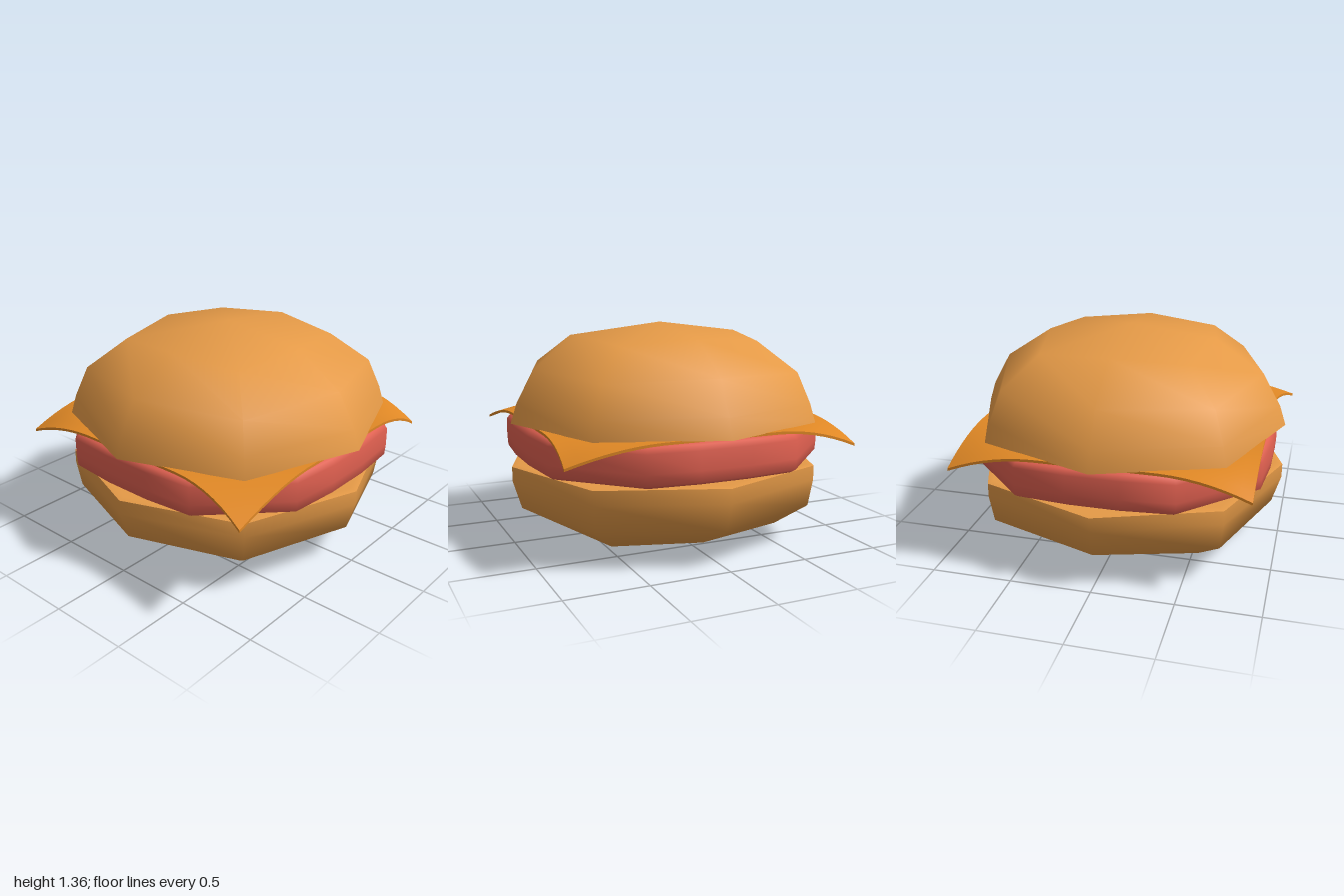
import * as THREE from 'three';
import { mergeVertices } from 'three/addons/utils/BufferGeometryUtils.js';

const material = (color, side = THREE.FrontSide) => new THREE.MeshStandardMaterial({ color, side });

// Smooth skin through closed rings of points, listed from bottom to top
function loft(rings) {
  const n = rings[0].length, index = [];
  for (let i = 0; i < rings.length - 1; i++) {
    for (let j = 0; j < n; j++) {
      const a = i * n + j, b = i * n + (j + 1) % n;
      index.push(a, b, a + n, b, b + n, a + n);
    }
  }
  let geometry = new THREE.BufferGeometry();
  geometry.setAttribute('position', new THREE.Float32BufferAttribute(rings.flat(2), 3));
  geometry.setIndex(index);
  geometry = mergeVertices(geometry);
  geometry.computeVertexNormals();
  return geometry;
}

// Eight-sided ring whose diagonal corners have their own radius and height
function bunRing([radius, y, diagRadius = radius, diagY = y]) {
  return Array.from({ length: 8 }, (_, i) => {
    const a = i * Math.PI / 4, r = i % 2 ? diagRadius : radius;
    return [r * Math.sin(a), i % 2 ? diagY : y, r * Math.cos(a)];
  });
}

// Sixteen-sided rounded square ring for the patty
function pattyRing([scale, y]) {
  const corner = [[0.16, 0.94], [0.48, 0.91], [0.91, 0.48], [0.94, 0.16]];
  const ring = [];
  for (let q = 0; q < 4; q++) {
    const c = [1, 0, -1, 0][q], s = [0, 1, 0, -1][q];
    for (const [x, z] of corner) ring.push([scale * (x * c + z * s), y, scale * (z * c - x * s)]);
  }
  return ring;
}

// Each list of levels is its own smooth surface, so the rims stay sharp
function part(name, color, ringOf, surfaces) {
  const group = new THREE.Group();
  group.name = name;
  const mat = material(color);
  for (const [surface, levels] of Object.entries(surfaces)) {
    const mesh = new THREE.Mesh(loft(levels.map(ringOf)), mat);
    mesh.name = name + surface;
    group.add(mesh);
  }
  return group;
}

// Square slice with drooping corners, its +x side swept a little forward
function cheeseSlice() {
  const geometry = new THREE.BoxGeometry(1.8, 0.016, 1.8, 24, 1, 24);
  const p = geometry.attributes.position;
  for (let i = 0; i < p.count; i++) {
    const x = p.getX(i), z = p.getZ(i);
    const bend = Math.max(0, (Math.abs(x) + Math.abs(z) - 1.25) / 0.55) ** 2;
    const sweep = x > 0 ? bend : 0;
    p.setXYZ(i, x + 0.015 * sweep, p.getY(i) + 0.758 - 0.115 * bend, z + 0.095 * sweep);
  }
  geometry.computeVertexNormals();
  const mesh = new THREE.Mesh(geometry, material(0xe08825, THREE.DoubleSide));
  mesh.name = 'cheeseSlice';
  return mesh;
}

export function createModel() {
  const model = new THREE.Group();
  model.name = 'burger';
  const bun = 0xe59a47;

  model.add(part('bottomBun', bun, bunRing, {
    Bowl: [[0, 0], [0.65, 0.065, 0.79, 0.09], [0.945, 0.22, 1.0, 0.23], [1, 0.4, 1.03, 0.4], [1, 0.49, 1.03, 0.49]],
    CutFace: [[1, 0.49, 1.03, 0.49], [0.96, 0.497, 0.99, 0.497], [0, 0.497]],
  }));

  model.add(part('patty', 0xe06050, pattyRing, {
    Side: [[0.96, 0.508], [0.995, 0.53], [1, 0.595], [1, 0.71], [0.975, 0.74], [0.94, 0.748]],
    Underside: [[0, 0.508], [0.96, 0.508]],
    Top: [[0.94, 0.748], [0, 0.748]],
  }));

  model.add(cheeseSlice());

  model.add(part('topBun', bun, bunRing, {
    CutFace: [[0, 0.763], [1, 0.763, 1.03, 0.763]],
    Dome: [[1, 0.763, 1.03, 0.763], [0.96, 0.885, 0.995, 0.88], [0.845, 1.09, 0.91, 1.07], [0.545, 1.29, 0.65, 1.255], [0, 1.36]],
  }));
  return model;
}
